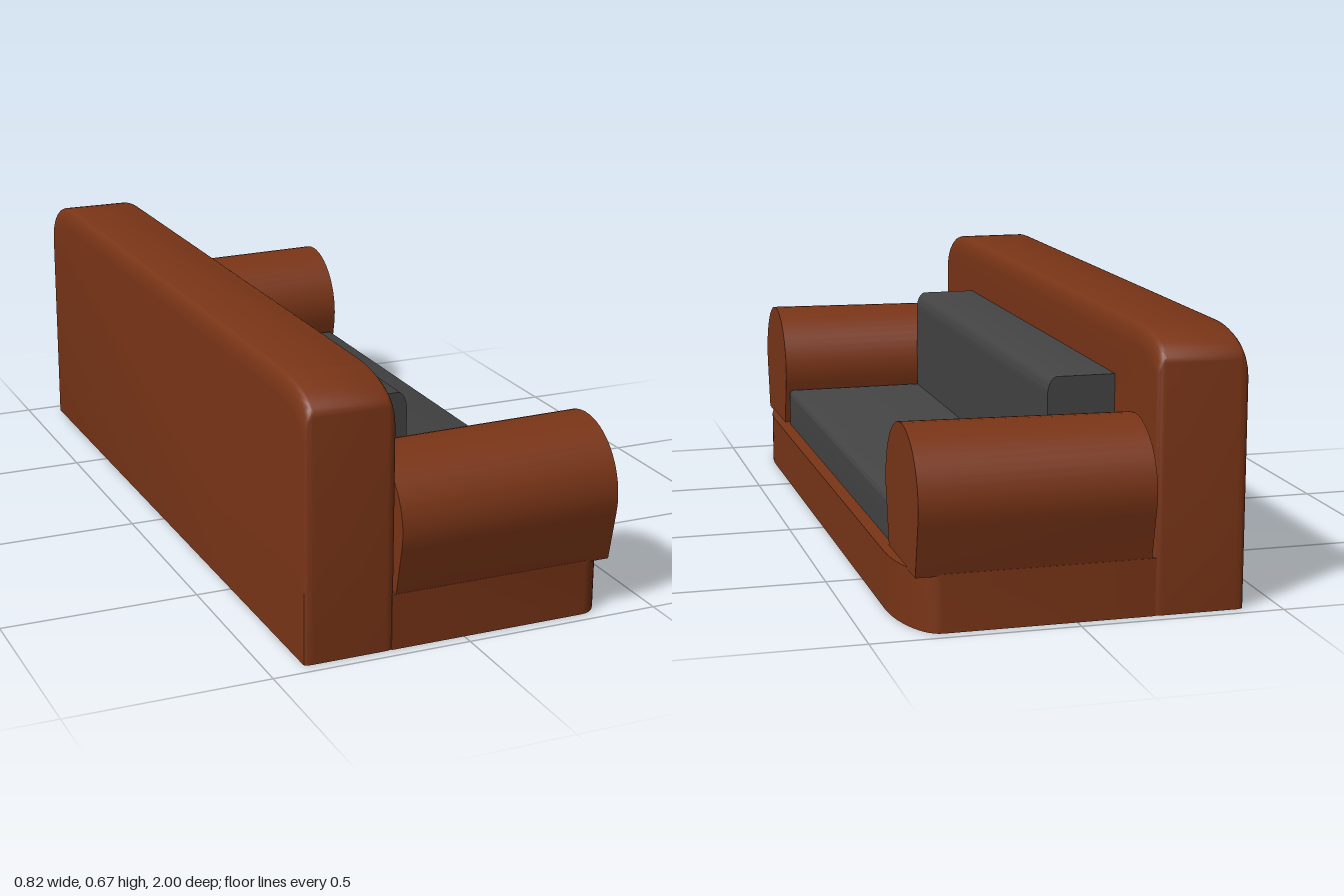
import * as THREE from 'three';
import { toCreasedNormals } from 'three/addons/utils/BufferGeometryUtils.js';

const leather = new THREE.MeshStandardMaterial({ color: 0x7a3517 });
const fabric = new THREE.MeshStandardMaterial({ color: 0x444444 });

function part(name, geometry, material) {
  const mesh = new THREE.Mesh(toCreasedNormals(geometry, 0.6), material);
  mesh.name = name;
  return mesh;
}

function extrude(shape, depth) {
  return new THREE.ExtrudeGeometry(shape, { depth, bevelEnabled: false, curveSegments: 14 });
}

// Joins equal convex rings, listed along +x, and closes both ends.
function loft(rings) {
  const n = rings[0].length, last = (rings.length - 1) * n, index = [];
  for (let i = 0; i < rings.length - 1; i++) {
    for (let j = 0; j < n; j++) {
      const a = i * n + j, b = i * n + (j + 1) % n;
      index.push(a, b, b + n, a, b + n, a + n);
    }
  }
  for (let k = 1; k < n - 1; k++) {
    index.push(0, k + 1, k, last, last + k, last + k + 1);
  }
  const geometry = new THREE.BufferGeometry();
  geometry.setAttribute('position', new THREE.Float32BufferAttribute(rings.flat(2), 3));
  geometry.setIndex(index);
  return geometry;
}

// Outline of the backrest at one depth: square feet, wide elliptical top corners.
function backRing(x, inset) {
  const w = 0.97 - 0.008 * inset, h = 0.665 - 0.06 * inset, rz = 0.18, ry = 0.065, steps = 10;
  const ring = [[x, 0, w], [x, 0, -w]];
  for (const side of [-1, 1]) {
    for (let i = 0; i <= steps; i++) {
      const t = (side < 0 ? i : steps - i) / steps * Math.PI / 2;
      ring.push([x, h - ry + ry * Math.sin(t), side * (w - rz + rz * Math.cos(t))]);
    }
  }
  return ring;
}

function backrest() {
  const rings = [], steps = 6, r = 0.022;
  for (const side of [-1, 1]) {
    for (let i = 0; i <= steps; i++) {
      const t = (side < 0 ? i : steps - i) / steps * Math.PI / 2;
      rings.push(backRing(-0.2975 + side * (0.1125 - r + r * Math.cos(t)), 1 - Math.sin(t)));
    }
  }
  return loft(rings);
}

// Plinth with softly rounded front corners.
function base() {
  const s = new THREE.Shape();
  s.moveTo(-0.19, -0.97);
  s.lineTo(0.32, -0.97);
  s.bezierCurveTo(0.37, -0.97, 0.408, -0.86, 0.408, -0.75);
  s.lineTo(0.408, 0.75);
  s.bezierCurveTo(0.408, 0.86, 0.37, 0.97, 0.32, 0.97);
  s.lineTo(-0.19, 0.97);
  s.closePath();
  return extrude(s, 0.14).rotateX(-Math.PI / 2);
}

// Round bolster arm that narrows towards the plinth and rises a little to the front.
function arm() {
  const s = new THREE.Shape();
  s.moveTo(-0.133, 0.135);
  s.lineTo(0.133, 0.135);
  s.lineTo(0.16, 0.262);
  s.absarc(0, 0.301, 0.165, -0.24, Math.PI + 0.24, false);
  s.closePath();
  const geometry = extrude(s, 0.565).rotateY(Math.PI / 2).translate(-0.18, 0, 0);
  const p = geometry.attributes.position;
  for (let i = 0; i < p.count; i++) {
    const y = p.getY(i);
    p.setY(i, y + 0.014 * (p.getX(i) - 0.385) * (y - 0.135) / 0.33);
  }
  return geometry;
}

// Cushion block from x0 to x1 with its upper front edge rounded.
function cushion(x0, x1, y0, y1, r, length) {
  const s = new THREE.Shape();
  s.moveTo(x0, y0);
  s.lineTo(x1, y0);
  s.lineTo(x1, y1 - r * 1.8);
  s.bezierCurveTo(x1, y1 - r * 0.8, x1 - r * 0.45, y1, x1 - r, y1);
  s.lineTo(x0, y1);
  s.closePath();
  return extrude(s, length);
}

export function createModel() {
  const sofa = new THREE.Group();
  sofa.name = 'sofa';
  sofa.add(part('backrest', backrest(), leather), part('base', base(), leather));

  for (const side of [-1, 1]) {
    const armMesh = part('arm', arm(), leather);
    armMesh.position.z = side * 0.835;
    const seat = part('seatCushion', cushion(-0.185, 0.375, 0.135, 0.242, 0.008, 0.67), fabric);
    const back = part('backCushion', cushion(-0.187, -0.015, 0.135, 0.52, 0.025, 0.67), fabric);
    seat.position.z = back.position.z = side < 0 ? -0.67 : 0;
    sofa.add(armMesh, seat, back);
  }
  return sofa;
}
